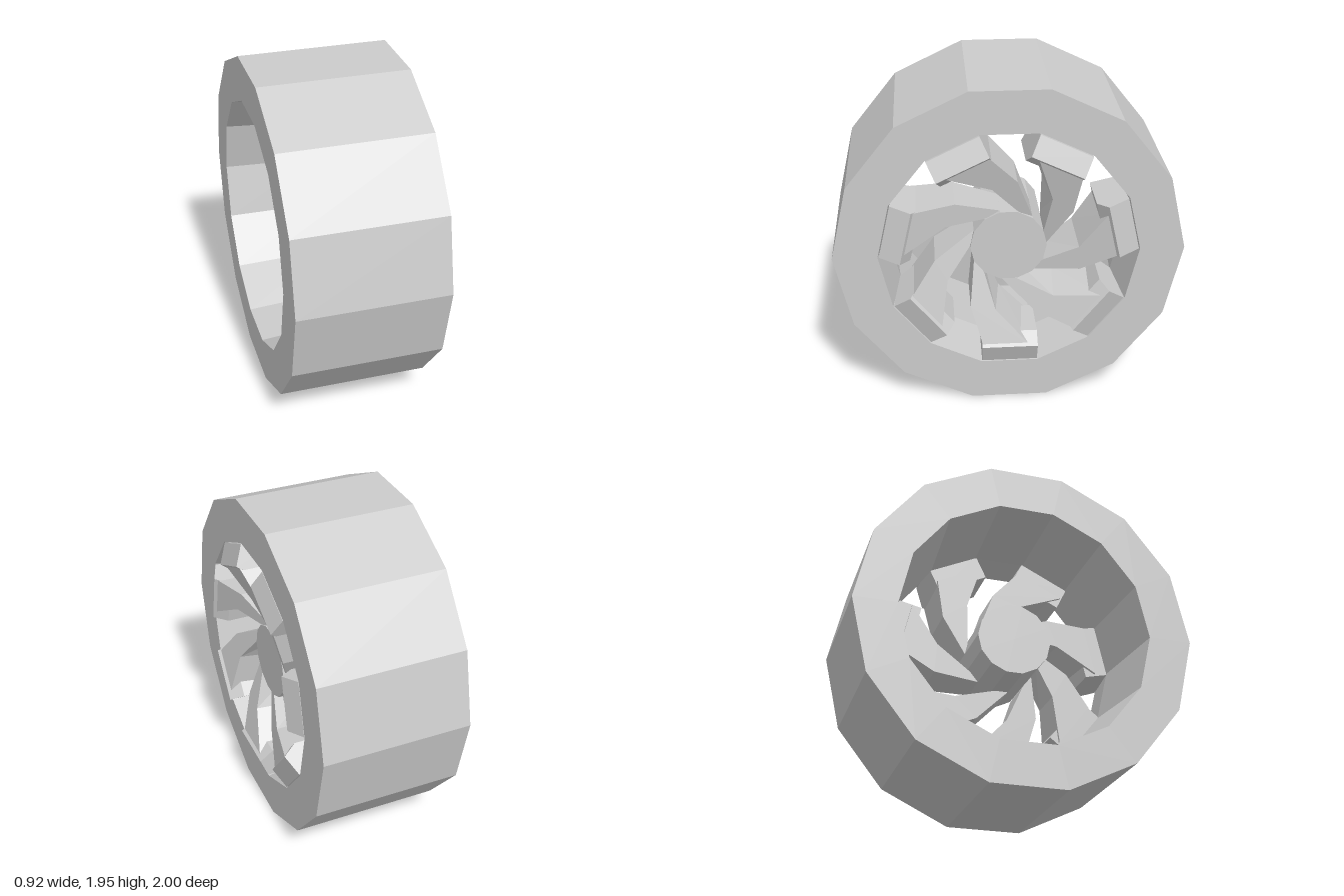
import * as THREE from 'three';

const SIDES = 14;
const ARMS = 7;

function shapeFrom(points) {
  return new THREE.Shape(points.map(([x, y]) => new THREE.Vector2(x, y)));
}

// Chamfered rim block, drawn as a depth/radius profile and swept across its width
function blockGeometry() {
  const width = 0.326;
  const profile = shapeFrom([
    [0.1, -0.7], [0.41, -0.72], [0.46, -0.6], [0.38, -0.54], [0.1, -0.54],
  ]);
  const g = new THREE.ExtrudeGeometry(profile, { depth: width, bevelEnabled: false });
  g.translate(0, 0, -width / 2);
  g.rotateY(-Math.PI / 2);
  return g;
}

// Bent spoke: its face slopes outward to the rim and its trailing side has draft
function spokeGeometry() {
  const outline = shapeFrom([
    [-0.19, -0.08], [-0.198, -0.095], [-0.225, -0.364], [-0.155, -0.6],
    [0.118, -0.6], [-0.08, -0.39], [-0.14, -0.177],
  ]);
  const g = new THREE.ExtrudeGeometry(outline, { depth: 1, bevelEnabled: false });
  const p = g.attributes.position;
  for (let i = 0; i < p.count; i++) {
    const x = p.getX(i), y = p.getY(i);
    if (p.getZ(i) > 0.5) {
      p.setZ(i, 0.32 + (-y - 0.18) * 0.3);
    } else {
      p.setZ(i, 0.08);
      if (x > -0.1) p.setX(i, x + 0.035);
    }
  }
  g.computeVertexNormals();
  return g;
}

export function createModel() {
  const material = new THREE.MeshStandardMaterial({ color: 0xcccccc, flatShading: true });
  const model = new THREE.Group();
  model.name = 'wheel';

  const add = (parent, name, geometry) => {
    const mesh = new THREE.Mesh(geometry, material);
    mesh.name = name;
    parent.add(mesh);
    return mesh;
  };

  // Axle runs along x
  const axleHeight = Math.cos(Math.PI / SIDES);

  // Tyre: faceted ring whose bore narrows behind the front face
  const ring = [[0.745, -0.46], [1, -0.46], [1, 0.41], [0.745, 0.41], [0.7, 0.1], [0.745, -0.46]];
  const tyre = add(model, 'tyre', new THREE.LatheGeometry(
    ring.map(([r, y]) => new THREE.Vector2(r, y)), SIDES));
  tyre.rotation.z = -Math.PI / 2;
  tyre.position.y = axleHeight;

  // Hub
  const hub = add(model, 'hub', new THREE.CylinderGeometry(0.22, 0.22, 0.53, SIDES));
  hub.rotation.z = -Math.PI / 2;
  hub.position.set(0.055, axleHeight, 0);

  // Spokes and rim blocks
  const arms = new THREE.Group();
  arms.name = 'spokes';
  arms.rotation.y = Math.PI / 2;
  arms.position.y = axleHeight;
  model.add(arms);
  const block = blockGeometry();
  const spoke = spokeGeometry();
  for (let i = 0; i < ARMS; i++) {
    const arm = new THREE.Group();
    arm.name = `arm${i + 1}`;
    arm.rotation.z = (i / ARMS) * Math.PI * 2;
    add(arm, 'rimBlock', block);
    add(arm, 'spoke', spoke);
    arms.add(arm);
  }
  return model;
}
